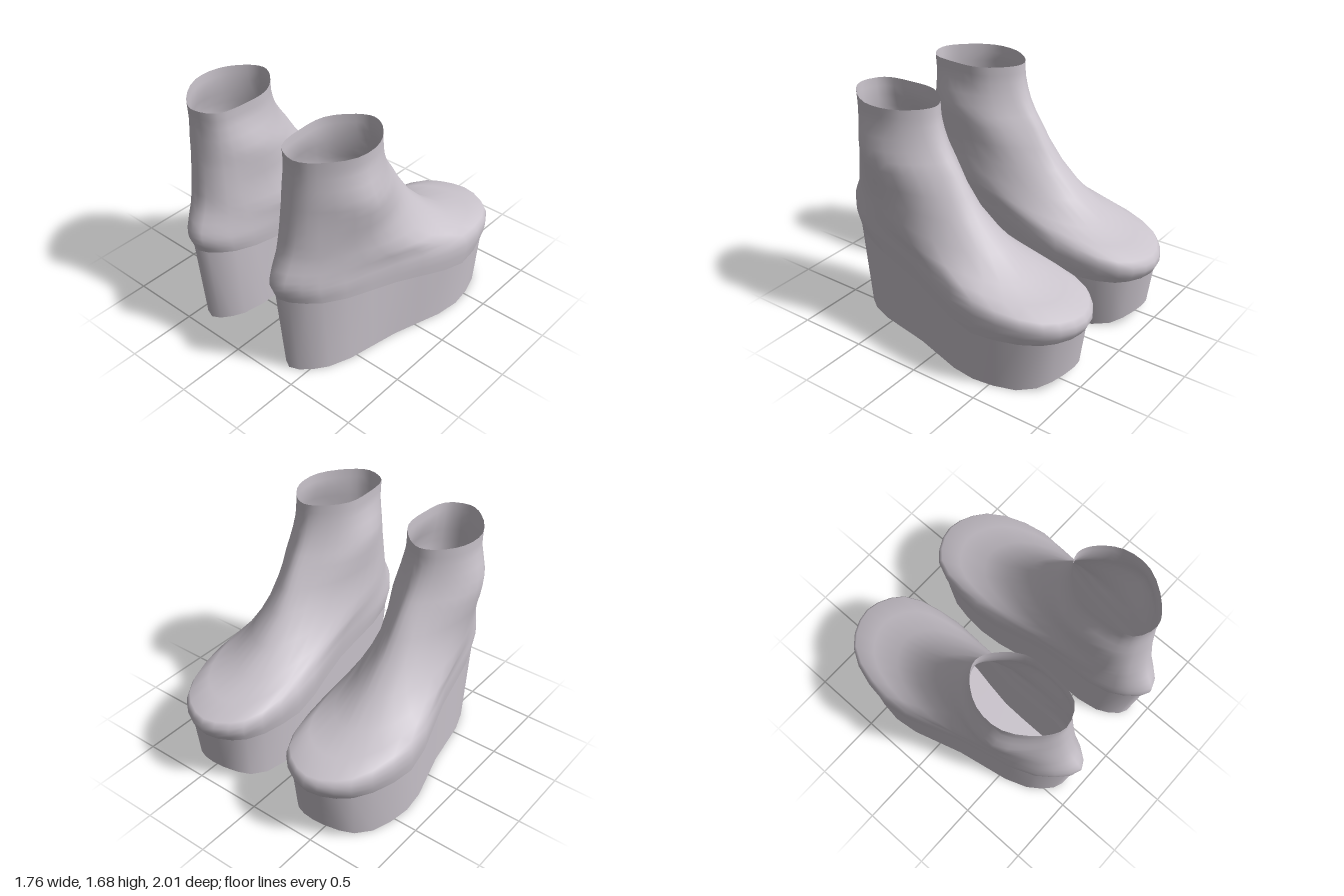
import * as THREE from 'three';

const SIDES = 30;
const STEPS = 2; // loops per span between key loops
const STATIONS = [0.07, 0.3, 0.6, 0.9]; // fractions of the length from toe to heel
const { lerp, clamp } = THREE.MathUtils;

// Closed loop sloping from toe to heel; half outlines are x at the first three stations
function ring(toeY, toeZ, heelY, heelZ, outer, inner) {
  const rise = (heelY - 0.74) / 0.8; // the heel end narrows and shifts as the loops climb
  const point = (x, u) => new THREE.Vector3(x, lerp(toeY, heelY, u), lerp(toeZ, heelZ, u));
  const half = (xs) => xs.map((x, k) => point(x, STATIONS[k]));
  const curve = new THREE.CatmullRomCurve3([
    point(0.45 + 0.03 * rise, 0),
    ...half([...outer, 0.59 - 0.03 * rise]),
    point(0.37 + 0.06 * rise, 1),
    ...half([...inner, 0.205 + 0.07 * rise]).reverse(),
  ], true, 'centripetal');
  return Array.from({ length: SIDES }, (_, i) => curve.getPoint(i / SIDES));
}

const welt = ring(0.45, -1, 0.74, 1, [0.73, 0.88, 0.735], [0.19, 0.085, 0.17]);

// Loop below the welt: drawn in, with its height given by a rule along the length
function drawnIn(scaleX, scaleZ, shiftZ, height) {
  return welt.map((p) => new THREE.Vector3(
    0.47 + (p.x - 0.47) * scaleX,
    height(clamp((p.z + 1) / 2, 0, 1)),
    p.z * scaleZ + shiftZ));
}

const seam = drawnIn(0.96, 0.96, 0, (u) => 0.38 + 0.27 * Math.max(0, (u - 0.3) / 0.7));
const bottom = drawnIn(0.91, 0.905, -0.015, (u) => 0.1 * Math.max(0, 1 - u / 0.14) ** 2);

// Key loops of the upper: welt, toe cap, instep, ankle bones and collar
const collar = ring(1.56, 0.16, 1.56, 0.85, [0.585, 0.695, 0.7], [0.375, 0.25, 0.235]);
const upperKeys = [
  seam,
  welt,
  ring(0.53, -0.97, 0.83, 1, [0.72, 0.85, 0.735], [0.2, 0.115, 0.165]),
  ring(0.65, -0.57, 0.95, 0.94, [0.65, 0.775, 0.73], [0.28, 0.175, 0.16]),
  ring(0.97, -0.19, 1.07, 0.9, [0.6, 0.7, 0.715], [0.36, 0.235, 0.185]),
  ring(1.25, 0, 1.27, 0.87, [0.57, 0.715, 0.755], [0.385, 0.22, 0.175]),
  ring(1.4, 0.1, 1.39, 0.86, [0.575, 0.71, 0.75], [0.38, 0.23, 0.18]),
  collar,
  collar.map((p) => new THREE.Vector3(p.x, p.y + 0.125, p.z + 0.008)),
];

// Extra loops on smooth curves through the key loops
function refine(keys) {
  const columns = keys[0].map((_, i) =>
    new THREE.CatmullRomCurve3(keys.map((loop) => loop[i])));
  const count = (keys.length - 1) * STEPS;
  return Array.from({ length: count + 1 }, (_, r) => columns.map((c) => c.getPoint(r / count)));
}

function build(points, index, side) {
  const geometry = new THREE.BufferGeometry().setFromPoints(
    points.map((p) => new THREE.Vector3(p.x * side, p.y, p.z)));
  geometry.setIndex(side > 0 ? index : index.reverse());
  geometry.computeVertexNormals();
  return geometry;
}

// Smooth skin through a stack of loops
function loft(rings, side) {
  const index = [];
  for (let r = 0; r < rings.length - 1; r++) {
    for (let i = 0; i < SIDES; i++) {
      const j = (i + 1) % SIDES;
      const [a, b] = [r * SIDES + i, r * SIDES + j];
      index.push(a, a + SIDES, b, b, a + SIDES, b + SIDES);
    }
  }
  return build(rings.flat(), index, side);
}

// Underside, bridged across from the outer edge to the inner edge
function underside(loop, side) {
  const index = [];
  for (let i = 0; i < SIDES / 2; i++) {
    const a = (SIDES - i) % SIDES;
    const b = SIDES - i - 1;
    if (i > 0) index.push(i, i + 1, a);
    if (b !== i + 1) index.push(i + 1, b, a);
  }
  return build(loop, index, side);
}

export function createModel() {
  const model = new THREE.Group();
  model.name = 'platformBoots';
  const paleGrey = new THREE.MeshStandardMaterial({ color: 0xcac4cc, side: THREE.DoubleSide });
  paleGrey.name = 'paleGrey';
  const upperLoops = refine(upperKeys);

  for (const side of [1, -1]) {
    const boot = new THREE.Group();
    boot.name = side > 0 ? 'leftBoot' : 'rightBoot';
    const parts = {
      upper: loft(upperLoops, side),
      platformWall: loft([bottom, seam], side),
      soleUnderside: underside(bottom, side),
    };
    for (const [name, geometry] of Object.entries(parts)) {
      const mesh = new THREE.Mesh(geometry, paleGrey);
      mesh.name = name;
      boot.add(mesh);
    }
    model.add(boot);
  }
  return model;
}
